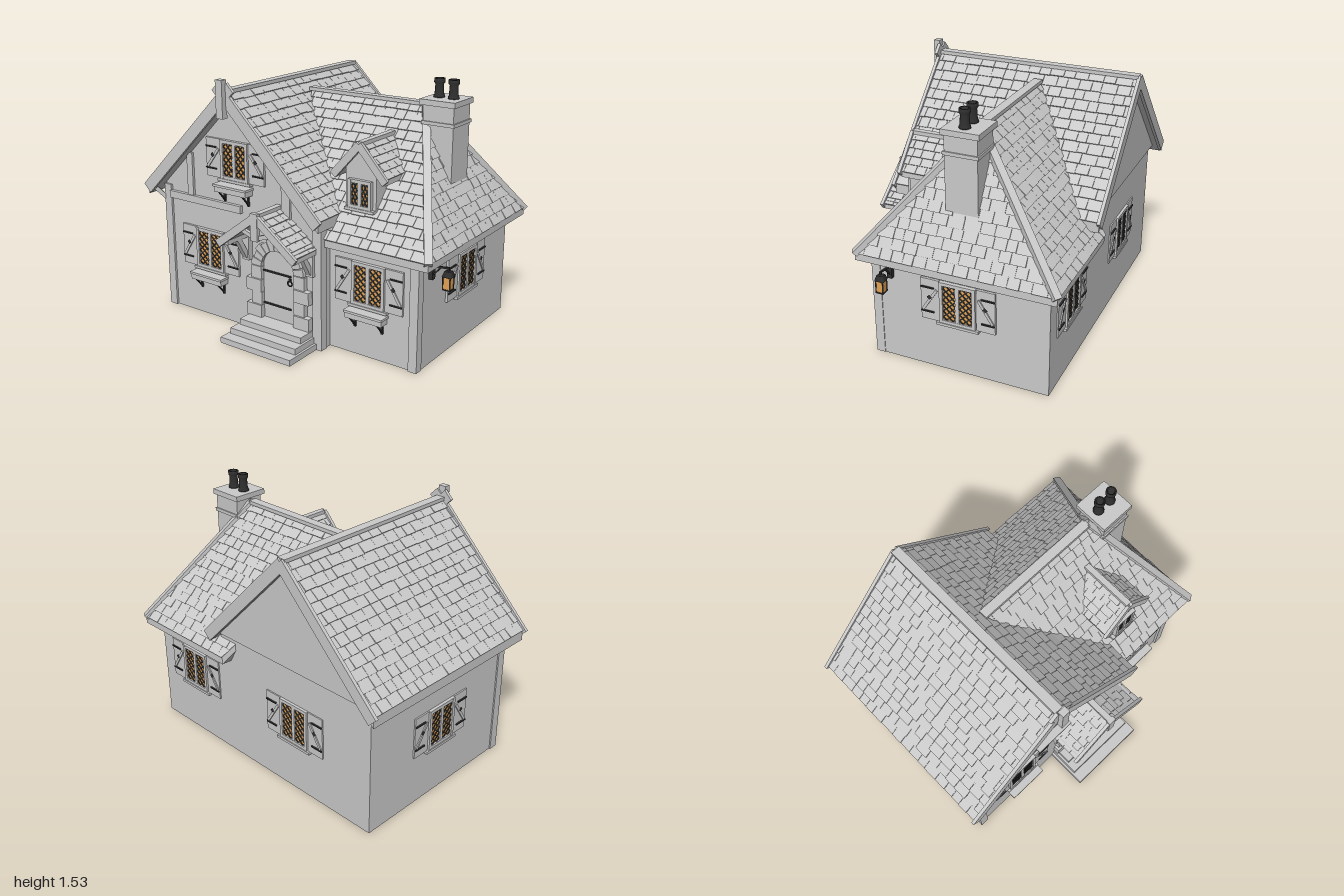
import * as THREE from 'three';
import { mergeGeometries } from 'three/addons/utils/BufferGeometryUtils.js';
import { ConvexGeometry } from 'three/addons/geometries/ConvexGeometry.js';

const mat = (name, color) => Object.assign(new THREE.MeshStandardMaterial({ color }), { name });
const grey = mat('stone grey', 0xcacaca);
const iron = mat('iron black', 0x303030);
const amber = mat('amber glass', 0xe4a456);

const V = (x, y, z) => new THREE.Vector3(x, y, z);
let seed = 7;
const rnd = () => (seed = (seed * 16807) % 2147483647) / 2147483647;

function add(parent, name, geo, material, x = 0, y = 0, z = 0) {
  const m = new THREE.Mesh(geo, material);
  m.name = name;
  m.position.set(x, y, z);
  parent.add(m);
  return m;
}
// box given by its min and max along each axis
function box(parent, name, material, x0, x1, y0, y1, z0, z1) {
  return add(parent, name, new THREE.BoxGeometry(x1 - x0, y1 - y0, z1 - z0), material,
    (x0 + x1) / 2, (y0 + y1) / 2, (z0 + z1) / 2);
}
// rectangular bar from a to b
function barGeo(a, b, w, h) {
  const o = new THREE.Object3D();
  o.position.copy(a).add(b).multiplyScalar(0.5);
  o.lookAt(b);
  o.updateMatrix();
  return new THREE.BoxGeometry(w, h, a.distanceTo(b)).applyMatrix4(o.matrix);
}
const bar = (parent, name, material, a, b, w, h) => add(parent, name, barGeo(a, b, w, h), material);
const extrude = (pts, depth) => new THREE.ExtrudeGeometry(
  new THREE.Shape(pts.map(p => new THREE.Vector2(...p))), { depth, bevelEnabled: false });

// overlapping shingle courses on the slope A B (eave) C D (ridge), seen from outside
function shingles(parent, name, A, B, C, D, course = 0.063, lift = 0.011) {
  const U = B.clone().sub(A).normalize();
  const N = U.clone().cross(D.clone().sub(A)).normalize();
  const up = N.clone().cross(U);
  const len = D.clone().sub(A).dot(up);
  const l1 = D.clone().sub(A).dot(U), r0 = B.clone().sub(A).dot(U), r1 = C.clone().sub(A).dot(U);
  const rows = Math.round(len / course), pos = [];
  const P = (u, t, n) => A.clone().addScaledVector(U, u).addScaledVector(up, t * len).addScaledVector(N, n);
  const quad = (a, b, c, d) => [a, b, c, a, c, d].forEach(p => pos.push(p.x, p.y, p.z));
  const clip = (u, t) => Math.min(Math.max(u, l1 * t), r0 + (r1 - r0) * t);
  for (let i = 0; i < rows; i++) {
    const t0 = i / rows, t1 = (i + 1) / rows;
    let u = Math.min(0, l1) - rnd() * course;
    while (u < Math.max(r0, r1)) {
      const w = course * (0.9 + rnd() * 0.7), h = lift * (0.75 + rnd() * 0.5);
      const ts = Math.max(0, t0 - rnd() * 0.005);
      const a0 = clip(u + 0.001, t0), b0 = clip(u + w - 0.001, t0);
      const a1 = clip(u + 0.001, t1), b1 = clip(u + w - 0.001, t1);
      u += w;
      if (b0 - a0 < 0.002 && b1 - a1 < 0.002) continue;
      const a = P(a0, ts, h), b = P(b0, ts, h), c = P(b1, t1, 0.003), d = P(a1, t1, 0.003);
      const e = P(a0, ts, -0.002), f = P(b0, ts, -0.002), g = P(b1, t1, -0.002), k = P(a1, t1, -0.002);
      quad(a, b, c, d); quad(e, f, b, a); quad(f, g, c, b); quad(k, e, a, d);
    }
  }
  const geo = new THREE.BufferGeometry();
  geo.setAttribute('position', new THREE.Float32BufferAttribute(pos, 3));
  geo.computeVertexNormals();
  add(parent, name, geo, grey);
}

// pitched roof with its ridge along z
function gableRoof(parent, name, o) {
  const { cx, apex, half, drop, th, z0, z1, board, ends, cross = 0, course } = o;
  const g = new THREE.Group();
  g.name = name;
  parent.add(g);
  add(g, 'roofSlab', extrude([[-half, -drop], [-half, -drop - th], [0, -th], [half, -drop - th],
    [half, -drop], [0, 0]], z1 - z0), grey, cx, apex, z0);
  const eave = apex - drop;
  shingles(g, 'rightShingles', V(cx + half, eave, z1), V(cx + half, eave, z0), V(cx, apex, z0), V(cx, apex, z1), course);
  shingles(g, 'leftShingles', V(cx - half, eave, z0), V(cx - half, eave, z1), V(cx, apex, z1), V(cx, apex, z0), course);
  box(g, 'ridgeCap', grey, cx - 0.4 * board, cx + 0.4 * board, apex - 0.008, apex + 0.014, z0, z1);
  const len = Math.hypot(half, drop);
  for (const z of ends) for (const s of [-1, 1]) {
    const along = V(s * half / len, -drop / len, 0), n = V(s * drop / len, half / len, 0);
    const top = V(cx, apex, z).addScaledVector(n, 0.02 - board / 2);
    const c = z > 0 ? cross : 0;
    bar(g, 'bargeboard', grey, top.clone().addScaledVector(along, -c),
      top.clone().addScaledVector(along, len + 0.015), 0.02, board);
  }
}

// leaded window facing +z; its origin lies on the wall face
function leadedWindow(parent, name, x, y, z, turn, { w = 0.215, h = 0.255, shutters = true, planter = false } = {}) {
  const g = new THREE.Group();
  g.name = name;
  g.position.set(x, y, z);
  g.rotation.y = turn;
  parent.add(g);
  const f = 0.02, hw = w / 2, hh = h / 2, m = 0.011;
  box(g, 'glass', amber, -hw + f, hw - f, -hh + f, hh - f, -0.054, 0.013);
  for (const s of [-1, 1]) {
    box(g, 'jamb', grey, s * (hw - f / 2) - f / 2, s * (hw - f / 2) + f / 2, -hh, hh, -0.06, 0.024);
    box(g, 'rail', grey, -hw, hw, s * (hh - f / 2) - f / 2, s * (hh - f / 2) + f / 2, -0.06, 0.023);
  }
  box(g, 'mullion', grey, -m, m, -hh, hh, 0, 0.022);
  box(g, 'sill', grey, -hw - 0.02, hw + 0.02, -hh - 0.014, -hh + 0.002, 0, 0.028);
  // diamond lattice
  const pw = hw - f - m, ph = h - 2 * f, dw = pw / 2, dh = ph / Math.max(3, Math.round(ph / 0.038)), k = dh / dw;
  const parts = [];
  for (const x0 of [-hw + f, m]) for (const s of [0, 1]) for (let i = -12; i < 3; i++) {
    const a = Math.max(0, (i + 0.5) * dw), b = Math.min(pw, (i + 0.5) * dw + ph / k);
    if (b - a < 0.004) continue;
    const pt = u => V(x0 + (s ? pw - u : u), -ph / 2 + k * (u - (i + 0.5) * dw), 0.014);
    parts.push(barGeo(pt(a), pt(b), 0.006, 0.007));
  }
  add(g, 'lattice', mergeGeometries(parts), iron);
  if (shutters) for (const s of [-1, 1]) {
    const sh = new THREE.Group();
    sh.name = 'shutter';
    sh.position.x = s * (hw + 0.059);
    g.add(sh);
    box(sh, 'shutterPanel', grey, -0.056, 0.056, -hh, hh, 0, 0.014);
    bar(sh, 'shutterBrace', grey, V(s * 0.044, -hh + 0.06, 0.013), V(-s * 0.042, hh - 0.06, 0.013), 0.016, 0.016);
    for (const e of [-1, 1]) {
      const yy = e * (hh - 0.052);
      box(sh, 'strapHinge', iron, Math.min(s * 0.054, -s * 0.025), Math.max(s * 0.054, -s * 0.025), yy - 0.004, yy + 0.004, 0.013, 0.022);
    }
    add(sh, 'diamondCutout', new THREE.CircleGeometry(0.016, 4), iron, 0, 0.018, 0.0225);
  }
  if (planter) {
    const t = -hh - 0.026;
    box(g, 'planter', grey, -0.12, 0.12, t - 0.045, t, 0.002, 0.066);
    box(g, 'planterRim', grey, -0.126, 0.126, t - 0.012, t + 0.002, 0, 0.074);
    for (const s of [-0.09, 0.09]) {
      box(g, 'planterBracket', iron, s - 0.006, s + 0.006, t - 0.115, t - 0.045, 0, 0.01);
      bar(g, 'planterStay', iron, V(s, t - 0.105, 0.006), V(s, t - 0.047, 0.055), 0.01, 0.008);
    }
  }
}

export function createModel() {
  const house = new THREE.Group();
  house.name = 'cottage';

  // hollow ground-floor walls with a partition
  const plan = new THREE.Shape([[-0.902, 0.66], [0.86, 0.66], [0.86, -0.39], [0.28, -0.39], [0.28, -0.472], [-0.902, -0.472]]
    .map(p => new THREE.Vector2(...p)));
  for (const [x0, x1, z1] of [[-0.85, 0.14, 0.42], [0.21, 0.81, 0.34]])
    plan.holes.push(new THREE.Path([[x0, 0.6], [x0, -z1], [x1, -z1], [x1, 0.6]].map(p => new THREE.Vector2(...p))));
  add(house, 'walls', new THREE.ExtrudeGeometry(plan, { depth: 0.63, bevelEnabled: false }).rotateX(-Math.PI / 2), grey);
  // gable wing above: side walls open to the roof, closed by two gables
  add(house, 'upperSideWalls', extrude([[-0.902, 0.63], [-0.85, 0.63], [-0.85, 0.81], [-0.33, 1.33], [0.14, 0.86],
    [0.14, 0.63], [0.28, 0.63], [0.28, 0.79], [-0.33, 1.4], [-0.902, 0.828]], 1.1), grey, 0, 0, -0.645);
  for (const z of [-0.66, 0.424])
    add(house, 'gableWall', extrude([[-0.902, 0.63], [0.28, 0.63], [0.28, 0.79], [-0.33, 1.4], [-0.902, 0.828]], 0.048), grey, 0, 0, z);
  add(house, 'backGablePanel', extrude([[-0.93, 0.79], [0.27, 0.79], [-0.33, 1.39]], 0.03), grey, 0, 0, -0.68);

  // timber framing
  box(house, 'cornerPost', grey, -0.91, -0.855, 0, 0.8, 0.43, 0.486);
  box(house, 'cornerPost', grey, 0.225, 0.286, 0, 0.79, 0.43, 0.486);
  box(house, 'cornerPost', grey, 0.81, 0.864, 0, 0.63, 0.35, 0.404);
  box(house, 'tieBeam', grey, -0.86, -0.29, 0.72, 0.765, 0.46, 0.495);
  box(house, 'stud', grey, -0.71, -0.665, 0.765, 1.03, 0.46, 0.488);
  box(house, 'stud', grey, 0.01, 0.07, 0.72, 1.03, 0.46, 0.488);
  bar(house, 'eaveBrace', grey, V(-0.9, 0.69, 0.46), V(-0.955, 0.785, 0.53), 0.025, 0.025);

  // main gable roof and finial
  gableRoof(house, 'mainRoof', { cx: -0.33, apex: 1.445, half: 0.645, drop: 0.645, th: 0.06, z0: -0.725, z1: 0.555,
    board: 0.07, ends: [0.56, -0.727], cross: 0.06 });
  box(house, 'finial', grey, -0.354, -0.306, 1.3, 1.52, 0.56, 0.6);

  // hipped side roof
  const E = 0.67, R = 1.375, zf = 0.455, zb = -0.725, xe = 0.945, xl = 0.2, zr = -0.135;
  const fl = V(xl, E, zf), fr = V(xe, E, zf), bl = V(xl, E, zb), br = V(xe, E, zb);
  const rl = V(-0.23, R, zr), rr = V(0.57, R, zr);
  const low = [fl, fr, bl, br].map(p => V(p.x, 0.627, p.z));
  add(house, 'hipRoof', new ConvexGeometry([fl, fr, bl, br, rl, rr, ...low]), grey);
  shingles(house, 'hipFrontShingles', fl, fr, rr, rl);
  shingles(house, 'hipSideShingles', fr, br, rr, rr);
  shingles(house, 'hipBackShingles', br, bl, rl, rr);
  bar(house, 'hipRidgeCap', grey, rl, rr, 0.055, 0.022);
  for (const c of [fr, br]) bar(house, 'hipCap', grey, rr, c, 0.045, 0.034);

  // chimney with two pots
  box(house, 'chimneyStack', grey, 0.61, 0.8, 0.85, 1.39, -0.225, -0.035);
  box(house, 'chimneyCollar', grey, 0.602, 0.808, 1.28, 1.3, -0.233, -0.027);
  box(house, 'chimneyCap', grey, 0.59, 0.812, 1.39, 1.422, -0.24, -0.02);
  const potProfile = [[0, 0], [0.032, 0], [0.032, 0.012], [0.027, 0.02], [0.024, 0.075], [0.031, 0.085], [0.031, 0.108],
    [0.02, 0.108], [0.018, 0.06], [0, 0.06]].map(p => new THREE.Vector2(...p));
  for (const x of [0.655, 0.745]) add(house, 'chimneyPot', new THREE.LatheGeometry(potProfile, 16), iron, x, 1.42, -0.13);

  // dormer
  add(house, 'dormerWalls', extrude([[-0.1, 0.78], [0.1, 0.78], [0.1, 1.08], [0, 1.18], [-0.1, 1.08]], 0.325), grey, 0.44, 0, 0);
  leadedWindow(house, 'dormerWindow', 0.443, 0.932, 0.325, 0, { w: 0.15, h: 0.165, shutters: false });
  gableRoof(house, 'dormerRoof', { cx: 0.44, apex: 1.215, half: 0.162, drop: 0.18, th: 0.03, z0: 0.005, z1: 0.34,
    board: 0.045, ends: [0.345], course: 0.05 });

  // windows
  leadedWindow(house, 'frontLeftWindow', -0.545, 0.44, 0.472, 0, { planter: true });
  leadedWindow(house, 'frontRightWindow', 0.545, 0.44, 0.39, 0, { planter: true });
  leadedWindow(house, 'gableWindow', -0.33, 1.03, 0.472, 0, { w: 0.205, h: 0.235, planter: true });
  leadedWindow(house, 'sideWindow', 0.86, 0.44, -0.13, Math.PI / 2);
  leadedWindow(house, 'sideWindow', -0.897, 0.44, -0.09, -Math.PI / 2);
  for (const x of [0.54, -0.335]) leadedWindow(house, 'backWindow', x, 0.44, -0.654, Math.PI);

  // arched door with stone surround
  const dx = -0.015, spring = 0.43, r = 0.118;
  const leaf = new THREE.Shape();
  leaf.moveTo(-r, 0.1).lineTo(r, 0.1).lineTo(r, spring).absarc(0, spring, r, 0, Math.PI, false);
  add(house, 'door', new THREE.ExtrudeGeometry(leaf, { depth: 0.02, bevelEnabled: false, curveSegments: 16 }), grey, dx, 0, 0.46);
  for (const y of [0.2, 0.405]) box(house, 'doorStrap', iron, dx - r, dx + 0.085, y - 0.005, y + 0.005, 0.478, 0.488);
  add(house, 'doorRing', new THREE.TorusGeometry(0.016, 0.004, 6, 16), iron, dx + 0.08, 0.365, 0.488);
  box(house, 'doorRingPlate', iron, dx + 0.073, dx + 0.087, 0.374, 0.394, 0.478, 0.49);
  for (const s of [-1, 1]) for (let i = 0; i < 4; i++) {
    const w = i % 2 ? 0.075 : 0.11, y = 0.107 + i * 0.081, a = dx + s * r, b = dx + s * (r + w);
    box(house, 'quoin', grey, Math.min(a, b), Math.max(a, b), y, y + 0.078, 0.46, 0.51 - (i % 2) * 0.006);
  }
  for (let i = 0; i < 11; i++) {
    const a0 = i * Math.PI / 11 + 0.015, a1 = (i + 1) * Math.PI / 11 - 0.015;
    const stone = new THREE.Shape();
    stone.absarc(0, 0, i % 2 ? 0.178 : 0.19, a0, a1, false);
    stone.absarc(0, 0, r, a1, a0, true);
    add(house, 'archStone', new THREE.ExtrudeGeometry(stone, { depth: 0.045, bevelEnabled: false, curveSegments: 3 }), grey, dx, spring, 0.46);
  }
  [[0.255, 0.735], [0.24, 0.665], [0.225, 0.595]].forEach(([w, z], i) =>
    box(house, 'doorstep', grey, dx + 0.01 - w, dx + 0.01 + w, i * 0.036, (i + 1) * 0.036, 0.46, z));

  // porch roof on brackets
  gableRoof(house, 'porchRoof', { cx: dx, apex: 0.81, half: 0.265, drop: 0.2, th: 0.028, z0: 0.465, z1: 0.685,
    board: 0.045, ends: [0.69], course: 0.05 });
  box(house, 'porchKingPost', grey, dx - 0.024, dx + 0.024, 0.67, 0.83, 0.675, 0.702);
  for (const s of [-1, 1]) {
    const x = dx + s * 0.232;
    box(house, 'porchWallPost', grey, x - 0.025, x + 0.025, 0.45, 0.63, 0.465, 0.508);
    box(house, 'porchPlate', grey, x - 0.02, x + 0.02, 0.595, 0.632, 0.47, 0.68);
    bar(house, 'porchBrace', grey, V(x, 0.47, 0.5), V(x, 0.6, 0.575), 0.03, 0.03);
    bar(house, 'porchStrut', grey, V(dx + s * 0.01, 0.685, 0.68), V(dx + s * 0.11, 0.72, 0.68), 0.02, 0.025);
  }

  // wall lantern
  const lx = 0.972, lz = 0.28;
  box(house, 'lanternPlate', iron, 0.86, 0.885, 0.52, 0.605, lz - 0.015, lz + 0.015);
  bar(house, 'lanternArm', iron, V(0.87, 0.592, lz), V(lx, 0.606, lz), 0.01, 0.01);
  bar(house, 'lanternStay', iron, V(0.875, 0.54, lz), V(0.925, 0.597, lz), 0.008, 0.008);
  box(house, 'lanternGlass', amber, lx - 0.021, lx + 0.021, 0.488, 0.562, lz - 0.021, lz + 0.021);
  box(house, 'lanternBase', iron, lx - 0.024, lx + 0.024, 0.482, 0.489, lz - 0.024, lz + 0.024);
  for (const i of [-1, 1]) for (const j of [-1, 1])
    box(house, 'lanternPost', iron, lx + i * 0.021 - 0.003, lx + i * 0.021 + 0.003, 0.485, 0.56, lz + j * 0.021 - 0.003, lz + j * 0.021 + 0.003);
  add(house, 'lanternHood', new THREE.CylinderGeometry(0.024, 0.038, 0.032, 4).rotateY(Math.PI / 4), iron, lx, 0.573, lz);
  box(house, 'lanternHook', iron, lx - 0.005, lx + 0.005, 0.585, 0.61, lz - 0.005, lz + 0.005);

  return house;
}
